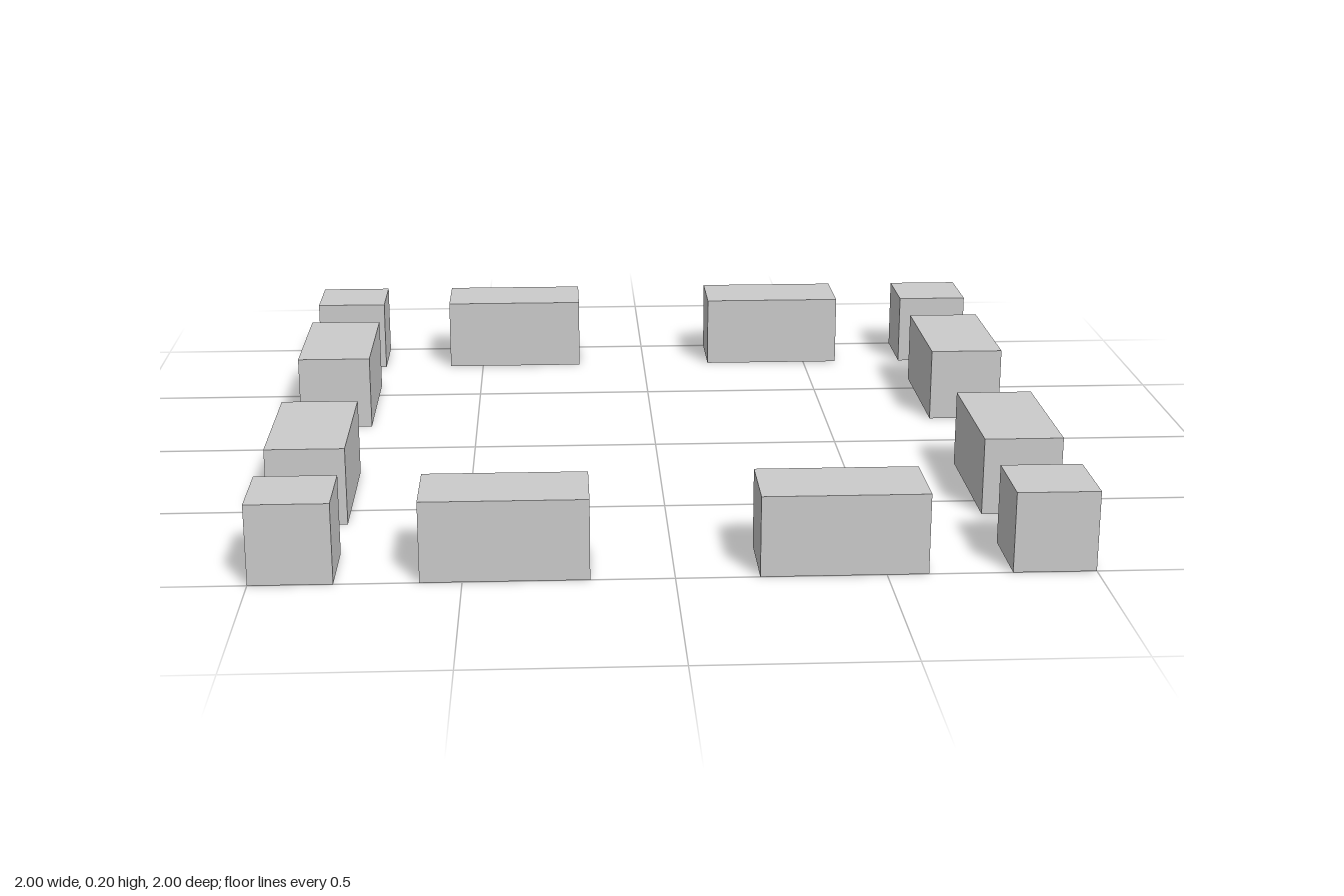
import * as THREE from 'three';

const SIZE = 0.2; // height and thickness of every block

export function createModel() {
  const model = new THREE.Group();
  model.name = 'blockRing';
  const material = new THREE.MeshStandardMaterial({ color: 0xcccccc, flatShading: true });
  const cornerGeometry = new THREE.BoxGeometry(SIZE, SIZE, SIZE);
  const acrossGeometry = new THREE.BoxGeometry(2 * SIZE, SIZE, SIZE);
  const alongGeometry = new THREE.BoxGeometry(SIZE, SIZE, 2 * SIZE);

  const addBlock = (name, geometry, x, z) => {
    const mesh = new THREE.Mesh(geometry, material);
    mesh.name = name;
    mesh.position.set(x, SIZE / 2, z);
    model.add(mesh);
  };

  // Each quadrant has a corner cube and one long block on either side of it
  for (const sx of [-1, 1]) {
    for (const sz of [-1, 1]) {
      const side = sx > 0 ? 'Left' : 'Right';
      const end = sz > 0 ? 'front' : 'back';
      addBlock(`${end}${side}CornerCube`, cornerGeometry, sx * 0.9, sz * 0.9);
      addBlock(`${end}${side}EndBlock`, acrossGeometry, sx * 0.4, sz * 0.9);
      addBlock(`${end}${side}SideBlock`, alongGeometry, sx * 0.9, sz * 0.4);
    }
  }
  return model;
}
